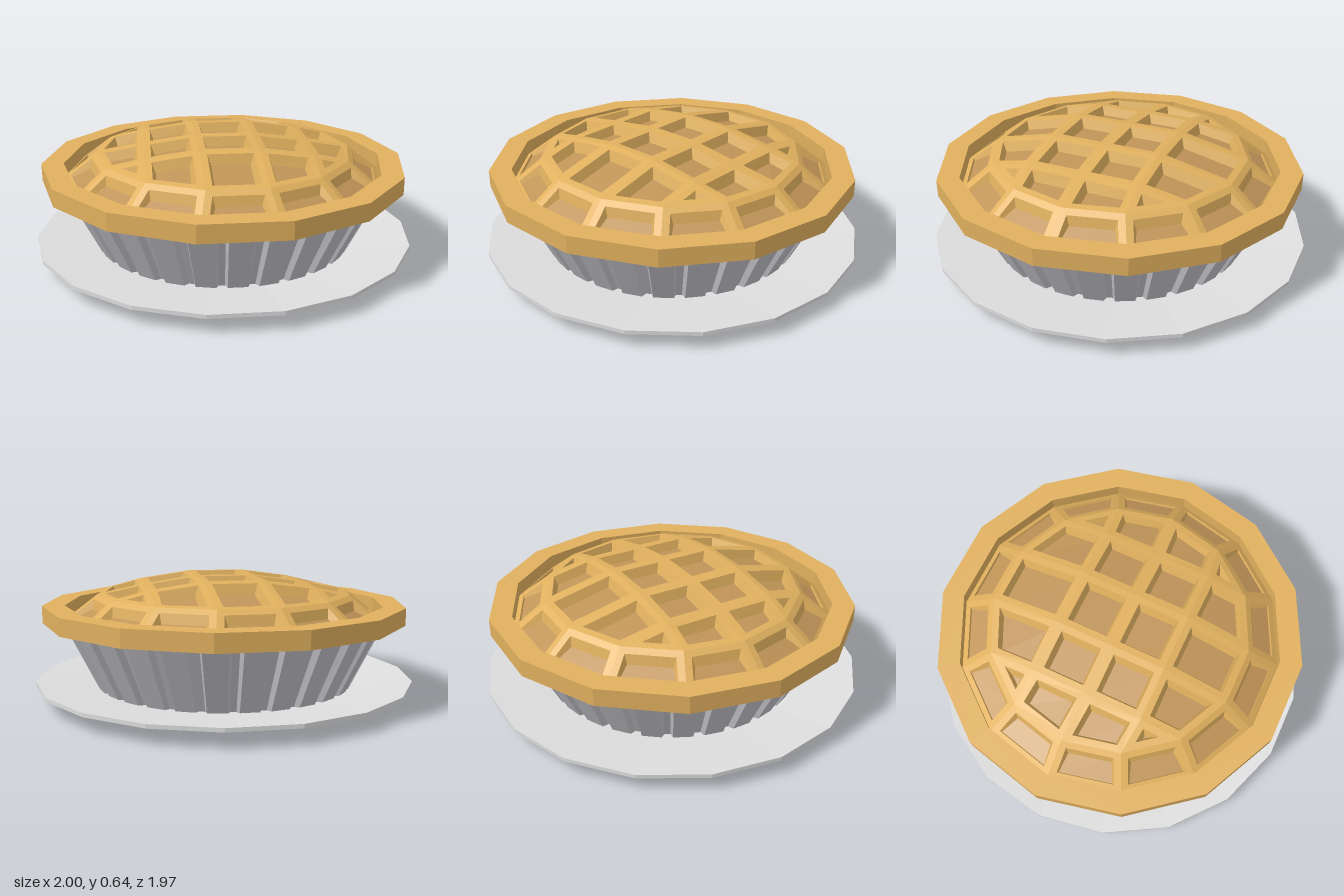
import * as THREE from 'three';

const paint = (name, color) => {
  const m = new THREE.MeshStandardMaterial({ color });
  m.name = name;
  return m;
};
const V = (x, y, z) => new THREE.Vector3(x, y, z);

// flat-shaded mesh from a list of polygons (corners counter-clockwise from outside)
function polyMesh(name, polys, material) {
  const pts = [];
  for (const p of polys)
    for (let i = 1; i < p.length - 1; i++) pts.push(p[0], p[i], p[i + 1]);
  const g = new THREE.BufferGeometry().setFromPoints(pts);
  g.computeVertexNormals();
  const mesh = new THREE.Mesh(g, material);
  mesh.name = name;
  return mesh;
}

// faceted turned part with a corner on the +x axis
function turned(name, profile, sides, material) {
  const g = new THREE.LatheGeometry(profile.map(p => new THREE.Vector2(...p)), sides, Math.PI / 2).toNonIndexed();
  g.computeVertexNormals();
  const mesh = new THREE.Mesh(g, material);
  mesh.name = name;
  return mesh;
}

// move every corner of a polygon inwards by d
function inset(poly, d) {
  const n = poly.length;
  return poly.map((p, i) => {
    const a = poly[(i + n - 1) % n].clone().sub(p).normalize();
    const b = poly[(i + 1) % n].clone().sub(p).normalize();
    const s = d / Math.sin(a.angleTo(b));
    return p.clone().addScaledVector(a, s).addScaledVector(b, s);
  });
}

// quads joining two matching loops
const band = (a, b) => a.map((p, i) => {
  const j = (i + 1) % a.length;
  return [p, a[j], b[j], b[i]];
});

const circle = (n, r, y) => Array.from({ length: n }, (_, k) => {
  const t = k / n * Math.PI * 2;
  return V(r * Math.cos(t), y, r * Math.sin(t));
});

// cells of the domed lattice: a grid in the middle and a ring of sloping cells
function domeCells() {
  const R = circle(14, 0.67, 0.555), O = circle(14, 0.84, 0.425);
  const row = z => [-0.42, -0.15, 0.15, 0.42].map(x => V(x, Math.abs(x) > 0.3 ? 0.6 : 0.638, z));
  const rows = [
    [null, R[9], R[10], R[11], R[12], null],
    [R[8], ...row(-0.27), R[13]],
    [R[7], ...row(0.02), R[0]],
    [R[6], ...row(0.31), R[1]],
    [null, R[5], R[4], R[3], R[2], null],
  ];
  const cells = [];
  for (let j = 0; j < 4; j++)
    for (let i = 0; i < 5; i++)
      cells.push([rows[j][i], rows[j + 1][i], rows[j + 1][i + 1], rows[j][i + 1]].filter(Boolean));
  R.forEach((p, k) => {
    const n = (k + 1) % 14;
    cells.push([p, R[n], O[n], O[k]]);
  });
  return cells;
}

// fluted, flared baking tin
function tinPolys() {
  const flutes = 28;
  const loop = (r, depth, y) => {
    const pts = [];
    for (let k = 0; k < flutes; k++)
      for (const [f, d] of [[-0.32, 0], [0.32, 0], [0.4, 1], [0.6, 1]]) {
        const t = (k + f) / flutes * Math.PI * 2, q = r - d * depth;
        pts.push(V(q * Math.cos(t), y, q * Math.sin(t)));
      }
    return pts;
  };
  const low = loop(0.68, 0.03, 0.07), high = loop(0.85, 0.035, 0.415);
  const floor = low.map((p, i) => [V(0, 0.07, 0), p, low[(i + 1) % low.length]]);
  return [...band(high, low), ...floor];
}

export function createModel() {
  const crust = paint('golden crust', 0xe0b05e);
  const fruit = paint('brown filling', 0xc09458);
  const metal = paint('tin grey', 0xc2c2c8);
  const china = paint('plate grey', 0xdedede);
  const pie = new THREE.Group();
  pie.name = 'pieOnPlate';

  // shallow plate with a foot
  pie.add(turned('plate', [[0, 0], [0.5, 0], [0.5, 0.035], [1, 0.08], [1, 0.1], [0.5, 0.055], [0, 0.055]], 18, china));
  pie.add(polyMesh('tin', tinPolys(), metal));

  // thick crust edge
  pie.add(turned('crustRim', [[0.78, 0.41], [0.955, 0.41], [0.955, 0.5], [0.84, 0.5], [0.84, 0.42], [0.78, 0.41]], 14, crust));

  // lattice bars: flat tops, then walls sloping into each opening
  const cells = domeCells(), bars = [];
  for (const c of cells) {
    const edge = inset(c, 0.035);
    const foot = inset(c, 0.055).map(p => p.setY(p.y - 0.055));
    bars.push(...band(c, edge), ...band(edge, foot));
  }
  pie.add(polyMesh('latticeCrust', bars, crust));

  // filling just below the lattice
  const sunk = cells.map(c => c.map(p => V(p.x, Math.max(p.y - 0.05, 0.415), p.z)));
  pie.add(polyMesh('filling', sunk, fruit));
  return pie;
}
